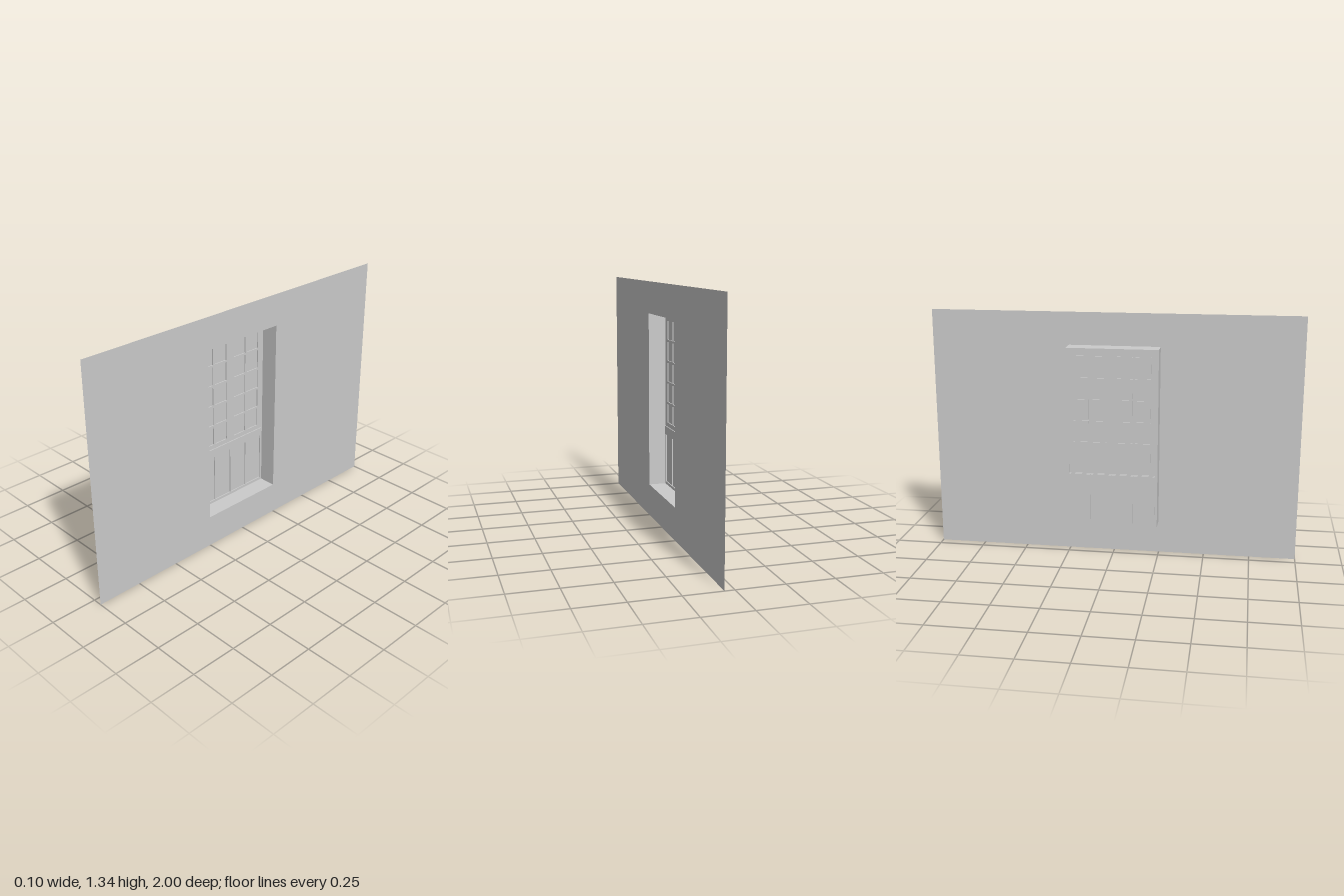
import * as THREE from 'three';

const WALL_X = 0.051;    // wall surface
const BACK_X = -0.0455;  // cabinet face at the back of the niche
const PANEL_X = -0.051;  // sunken panes and doors
const RAIL_X = -0.04;    // raised rail

const material = new THREE.MeshStandardMaterial({ color: 0xcccccc, side: THREE.DoubleSide });

const rect = (z0, z1, y0, y1) => ({ z0, z1, y0, y1 });

function addRect(path, r) {
  path.moveTo(r.z0, r.y0);
  path.lineTo(r.z1, r.y0);
  path.lineTo(r.z1, r.y1);
  path.lineTo(r.z0, r.y1);
  path.closePath();
  return path;
}

// Thin sheet facing along x, with rectangular openings
function sheet(name, x, outline, openings) {
  const shape = addRect(new THREE.Shape(), outline);
  openings.forEach((o) => shape.holes.push(addRect(new THREE.Path(), o)));
  const geometry = new THREE.ShapeGeometry(shape).rotateY(-Math.PI / 2).translate(x, 0, 0);
  const mesh = new THREE.Mesh(geometry, material);
  mesh.name = name;
  return mesh;
}

// Shallow open box running from its open rim at xOpen to its closed end at xEnd
function tray(name, r, xOpen, xEnd, closed = true) {
  const geometry = new THREE.BoxGeometry(Math.abs(xOpen - xEnd), r.y1 - r.y0, r.z1 - r.z0);
  const index = Array.from(geometry.index.array);
  const sides = index.slice(12);
  const end = xEnd < xOpen ? index.slice(6, 12) : index.slice(0, 6);
  geometry.setIndex(closed ? [...end, ...sides] : sides);
  geometry.clearGroups();
  geometry.translate((xOpen + xEnd) / 2, (r.y0 + r.y1) / 2, (r.z0 + r.z1) / 2);
  const mesh = new THREE.Mesh(geometry, material);
  mesh.name = name;
  return mesh;
}

export function createModel() {
  const group = new THREE.Group();
  group.name = 'wallNiche';

  // Wall with the niche opening, and the niche sides
  const niche = rect(-0.247, 0.247, 0.18, 1.158);
  group.add(sheet('wall', WALL_X, rect(-1, 1, 0, 1.335), [niche]));
  group.add(tray('nicheSides', niche, WALL_X, BACK_X, false));

  // Glazed upper doors: two mirrored pairs of columns, five rows
  const panes = [];
  for (let row = 0; row < 5; row++) {
    const y = 0.545 + row * 0.117;
    for (const inner of [0.028, 0.124]) {
      panes.push(rect(inner, inner + 0.084, y, y + 0.105));
      panes.push(rect(-inner - 0.084, -inner, y, y + 0.105));
    }
  }

  // Four lower doors with narrow gaps
  const doors = [];
  for (let i = 0; i < 4; i++) {
    const z = -0.235 + i * 0.1175;
    doors.push(rect(z + 0.002, z + 0.1155, 0.195, 0.468));
  }

  // Raised rail between the upper and lower doors
  const rail = rect(-0.235, 0.235, 0.472, 0.52);

  group.add(sheet('cabinetFace', BACK_X, niche, [...panes, ...doors, rail]));
  panes.forEach((r) => group.add(tray('pane', r, BACK_X, PANEL_X)));
  doors.forEach((r) => group.add(tray('lowerDoor', r, BACK_X, PANEL_X)));
  group.add(tray('rail', rail, BACK_X, RAIL_X));

  return group;
}
